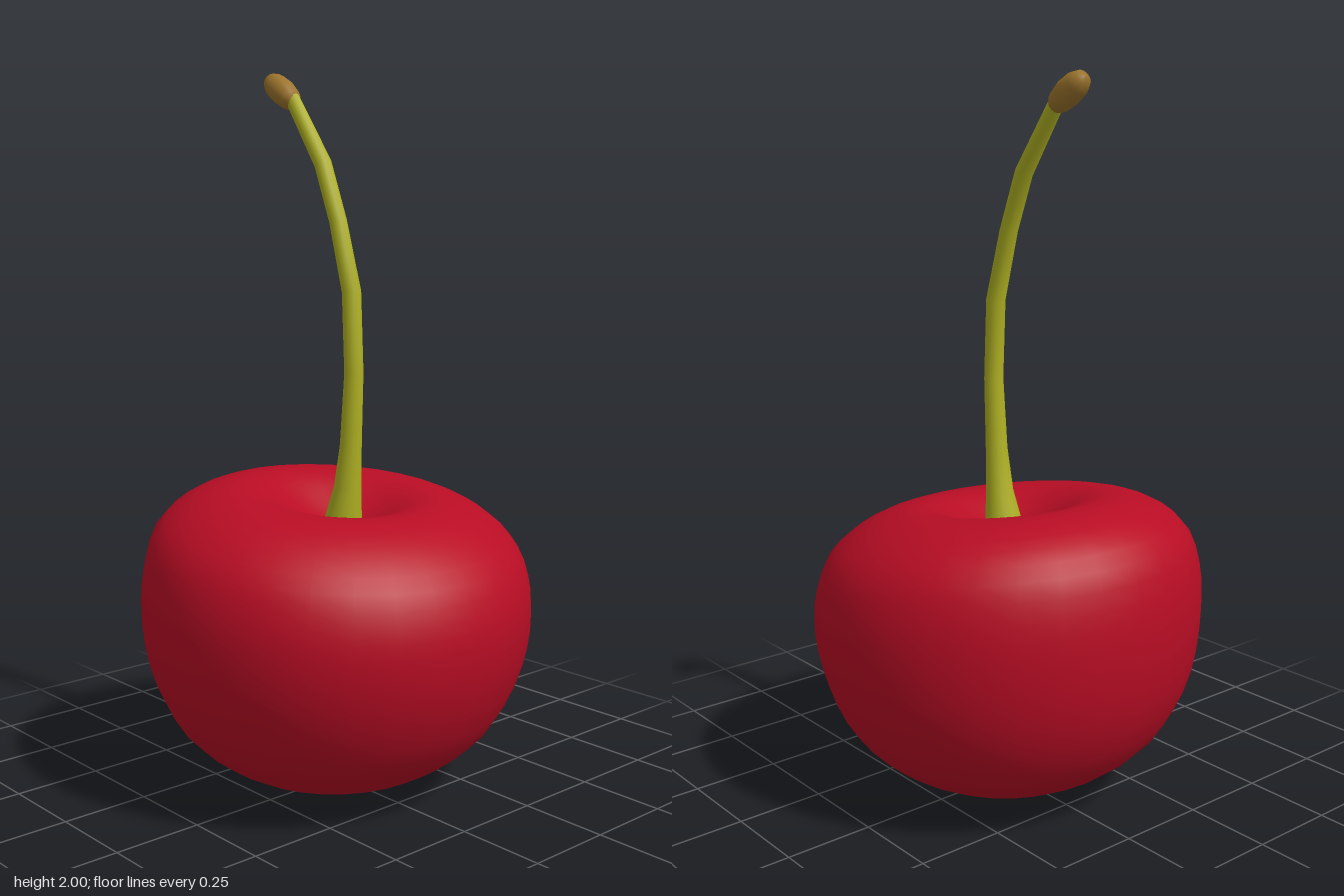
import * as THREE from 'three';

const red = new THREE.MeshStandardMaterial({ color: 0xb80d24 });
red.name = 'cherry red';
const green = new THREE.MeshStandardMaterial({ color: 0xaeb022 });
green.name = 'stem green';
const brown = new THREE.MeshStandardMaterial({ color: 0x9c742c });
brown.name = 'tip brown';

// Round tube bending in the xy plane through rows of [x, y, radius]
function loft(rows, sides) {
  const pos = [], idx = [];
  rows.forEach(([x, y, r], i) => {
    const a = rows[Math.max(i - 1, 0)], b = rows[Math.min(i + 1, rows.length - 1)];
    const len = Math.hypot(b[0] - a[0], b[1] - a[1]);
    const nx = (b[1] - a[1]) / len, ny = -(b[0] - a[0]) / len;
    for (let j = 0; j < sides; j++) {
      const t = (j / sides) * Math.PI * 2, c = Math.cos(t) * r;
      pos.push(x + nx * c, y + ny * c, -Math.sin(t) * r);
    }
  });
  for (let i = 0; i < rows.length - 1; i++) {
    for (let j = 0; j < sides; j++) {
      const k = (j + 1) % sides;
      const a = i * sides + j, b = i * sides + k, c = a + sides, d = b + sides;
      idx.push(a, b, d, a, d, c);
    }
  }
  const g = new THREE.BufferGeometry();
  g.setAttribute('position', new THREE.Float32BufferAttribute(pos, 3));
  g.setIndex(idx);
  g.computeVertexNormals();
  return g;
}

// Fruit: turned profile with a dimple, its top leaning lower towards +x
function fruitGeometry() {
  const outline = [
    [0, 0.005], [0.1, 0.016], [0.21, 0.04], [0.33, 0.1], [0.43, 0.19], [0.495, 0.31],
    [0.527, 0.43], [0.535, 0.54], [0.526, 0.63], [0.495, 0.72], [0.43, 0.785],
    [0.35, 0.825], [0.27, 0.84], [0.2, 0.828], [0.13, 0.79], [0.06, 0.752], [0, 0.74],
  ].map(([r, y]) => new THREE.Vector2(r, y));
  const profile = new THREE.SplineCurve(outline).getPoints(32);
  profile.forEach((p) => { p.x = Math.max(p.x, 0); });
  profile[0].x = profile[32].x = 0;
  const g = new THREE.LatheGeometry(profile, 30, Math.PI / 2);
  const p = g.attributes.position;
  for (let i = 0; i < p.count; i++) {
    const x = p.getX(i), y = p.getY(i);
    const lean = THREE.MathUtils.smoothstep(y, 0.3, 0.8);
    p.setY(i, y - 0.115 * x * lean);
    p.setZ(i, p.getZ(i) * 1.045);
  }
  g.computeVertexNormals();
  // Match normals across the lathe seam
  const n = g.attributes.normal, rows = profile.length, last = 30 * rows;
  for (let i = 0; i < rows; i++) {
    const v = new THREE.Vector3().fromBufferAttribute(n, i)
      .add(new THREE.Vector3().fromBufferAttribute(n, last + i)).normalize();
    n.setXYZ(i, v.x, v.y, v.z);
    n.setXYZ(last + i, v.x, v.y, v.z);
  }
  return g;
}

export function createModel() {
  const group = new THREE.Group();
  group.name = 'cherry';
  const add = (name, geometry, material, z = 0) => {
    const mesh = new THREE.Mesh(geometry, material);
    mesh.name = name;
    mesh.position.z = z;
    group.add(mesh);
  };

  add('fruit', fruitGeometry(), red);

  // Stem flares at the foot and bends towards -x
  add('stem', loft([
    [0.01, 0.71, 0.058], [0.02, 0.77, 0.053], [0.037, 0.86, 0.039], [0.05, 0.98, 0.031],
    [0.062, 1.18, 0.027], [0.052, 1.4, 0.027], [-0.003, 1.59, 0.025],
    [-0.065, 1.745, 0.025], [-0.2, 1.935, 0.021],
  ], 12), green, -0.004);

  // Woody cap on the stem's end
  add('stemTip', loft([
    [-0.183, 1.912, 0], [-0.186, 1.914, 0.021], [-0.2, 1.924, 0.031], [-0.235, 1.948, 0.037],
    [-0.27, 1.97, 0.034], [-0.29, 1.983, 0.023], [-0.297, 1.987, 0],
  ], 12), brown, -0.004);

  return group;
}
